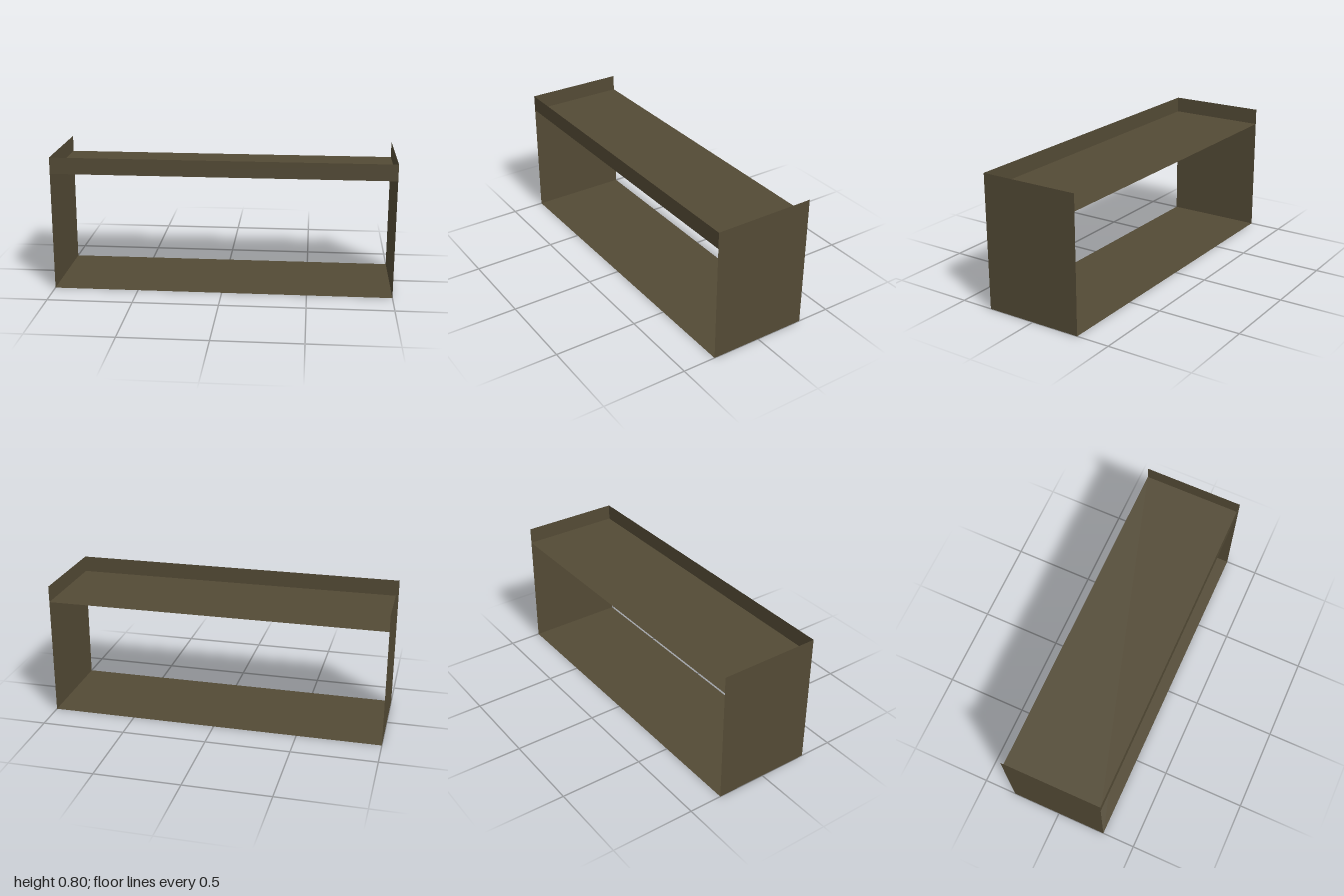
import * as THREE from 'three';

const WIDTH = 2, DEPTH = 0.6, HEIGHT = 0.8, SHELF_Y = 0.703;

export function createModel() {
  const group = new THREE.Group();
  group.name = 'shelfUnit';

  const wood = new THREE.MeshStandardMaterial({ color: 0x534a35, side: THREE.DoubleSide });
  wood.name = 'dark wood';

  // Thin sheet panel, turned and placed
  function panel(name, w, h, position, rotX = 0, rotY = 0) {
    const mesh = new THREE.Mesh(new THREE.PlaneGeometry(w, h), wood);
    mesh.name = name;
    mesh.rotation.set(rotX, rotY, 0);
    mesh.position.set(...position);
    group.add(mesh);
  }

  // Horizontal boards
  panel('bottomBoard', WIDTH, DEPTH, [0, 0, 0], -Math.PI / 2);
  panel('upperShelf', WIDTH, DEPTH, [0, SHELF_Y, 0], -Math.PI / 2);

  // Upright ends
  for (const [name, side] of [['leftSide', 1], ['rightSide', -1]]) {
    panel(name, DEPTH, HEIGHT, [side * WIDTH / 2, HEIGHT / 2, 0], 0, side * Math.PI / 2);
  }

  // Lip along the front edge of the upper shelf
  panel('frontLip', WIDTH, HEIGHT - SHELF_Y, [0, (HEIGHT + SHELF_Y) / 2, DEPTH / 2]);

  return group;
}
